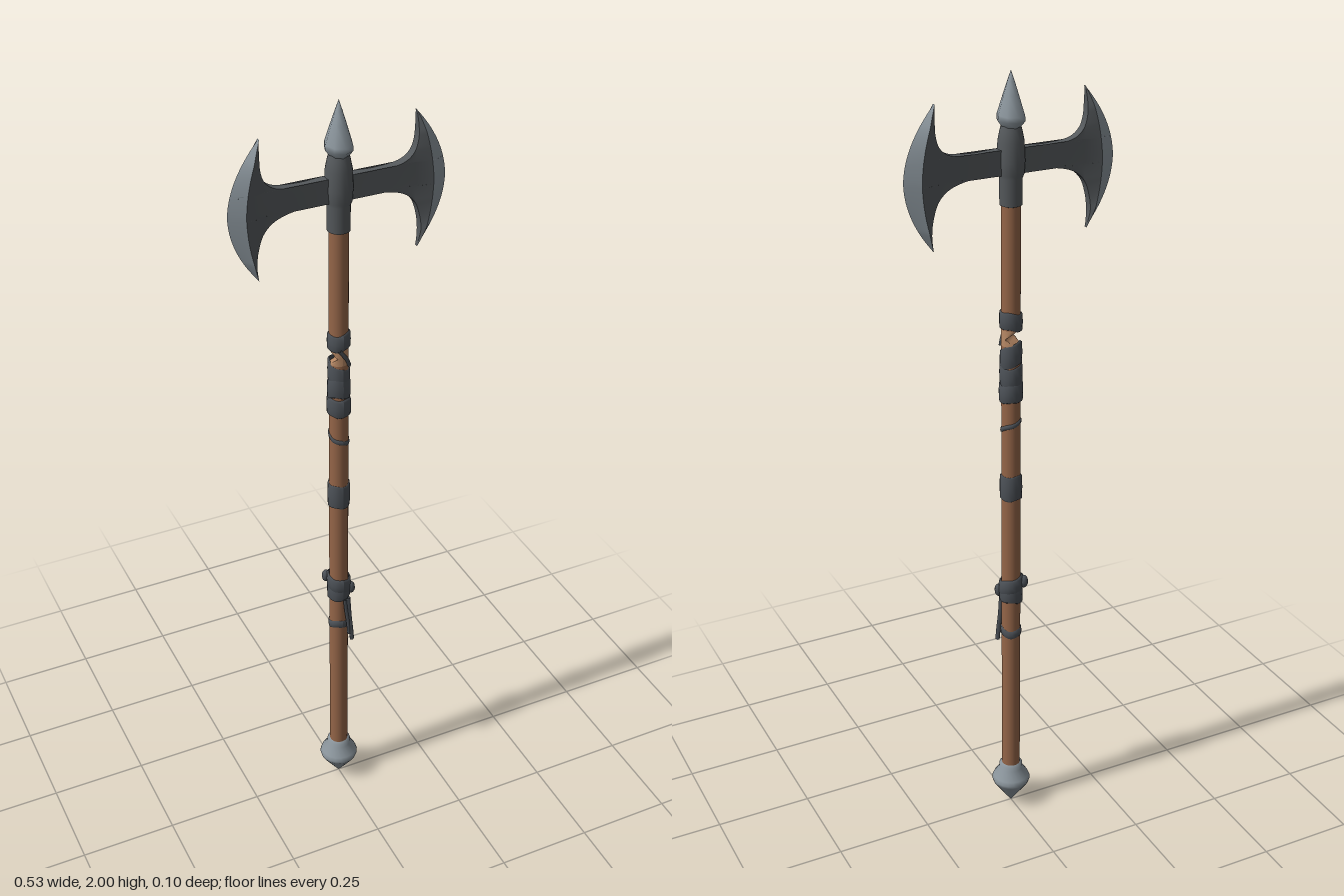
import * as THREE from 'three';

const mat = (name, color, side = THREE.FrontSide) =>
  Object.assign(new THREE.MeshStandardMaterial({ color, side }), { name });

export function createModel() {
  const group = new THREE.Group();
  const wood = mat('wood', 0x946548);
  const paleWood = mat('pale wood', 0xb98a66);
  const iron = mat('dark iron', 0x55595c);
  const steel = mat('bright steel', 0x8a949b);
  const cloth = mat('grey cloth', 0x4c5157, THREE.DoubleSide);

  const add = (name, geometry, material) => {
    const mesh = new THREE.Mesh(geometry, material);
    mesh.name = name;
    group.add(mesh);
    return mesh;
  };
  const lathe = (name, profile, material, segments = 20) =>
    add(name, new THREE.LatheGeometry(profile.map(p => new THREE.Vector2(...p)), segments), material);

  // Shaft, in two lengths with a splintered notch between them
  lathe('lowerShaft', [[0.024, 0.11], [0.0245, 0.7], [0.0235, 1.345]], wood);
  lathe('upperShaft', [[0.0235, 1.385], [0.023, 1.72]], wood);
  const notch = new THREE.CylinderGeometry(0.0235, 0.0235, 0.044, 20, 6, true);
  const p = notch.attributes.position;
  for (let i = 0; i < p.count; i++) {
    const depth = 0.03 * (1 - Math.abs(p.getY(i)) / 0.022);
    const out = (-p.getX(i) - p.getZ(i)) / Math.SQRT2;
    const cut = Math.max(0, out - (0.0235 - depth)) / Math.SQRT2;
    p.setX(i, p.getX(i) + cut);
    p.setZ(i, p.getZ(i) + cut);
  }
  notch.translate(0, 1.365, 0);
  notch.computeVertexNormals();
  add('splinteredNotch', notch, paleWood);

  // Pommel, head socket and top spike
  lathe('pommel', [[0, 0], [0.012, 0.016], [0.048, 0.068], [0.051, 0.078], [0.047, 0.088],
    [0.031, 0.112], [0.031, 0.124], [0.022, 0.13]], steel);
  lathe('headSocket', [[0.023, 1.69], [0.027, 1.692], [0.027, 1.755], [0.031, 1.765], [0.033, 1.795],
    [0.031, 1.84], [0.026, 1.865], [0.02, 1.885]], iron);
  const spike = lathe('topSpike', [[0.014, 1.865], [0.024, 1.872], [0.038, 1.888], [0.037, 1.9],
    [0.021, 1.945], [0.01, 1.975], [0, 2]], steel, 8);
  spike.scale.x = 0.86;

  // Blades: rows run up the inner outline, columns run out to the cutting edge
  const inner = new THREE.SplineCurve([
    [0.197, 1.608], [0.203, 1.65], [0.198, 1.69], [0.183, 1.728], [0.15, 1.754], [0.09, 1.767], [0, 1.768],
    [0, 1.82], [0.09, 1.82], [0.15, 1.826], [0.179, 1.845], [0.19, 1.875], [0.191, 1.91], [0.188, 1.944],
  ].map(q => new THREE.Vector2(...q)));
  const rows = inner.getPoints(78).map(({ x, y }) => {
    const bulge = Math.max(0, 1 - ((y - 1.776) / 0.168) ** 2);
    const base = 0.197 - 0.009 * Math.max(0, (y - 1.776) / 0.168);
    const ridge = Math.max(x, base + 0.031 * bulge);
    const thin = Math.min(1, 0.25 + 1.5 * bulge);
    return { x, y, ridge, mid: Math.min(ridge, Math.max(x, 0.185)),
      edge: Math.max(ridge, base + 0.069 * bulge), zWeb: 0.011 * thin, zRidge: 0.0185 * thin };
  });
  const strip = (name, columns, sx, sz, material) => {
    const n = columns.length, verts = [], index = [];
    rows.forEach((r, i) => columns.forEach((column, j) => {
      const [x, z] = column(r);
      verts.push(x * sx, r.y, z * sz);
      if (i && j) {
        const d = i * n + j, c = d - 1, b = d - n, a = b - 1;
        index.push(...(sx * sz > 0 ? [a, b, d, a, d, c] : [a, d, b, a, c, d]));
      }
    }));
    const geometry = new THREE.BufferGeometry();
    geometry.setAttribute('position', new THREE.Float32BufferAttribute(verts, 3));
    geometry.setIndex(index);
    geometry.computeVertexNormals();
    add(name, geometry, material);
  };
  for (const [side, sx] of [['left', 1], ['right', -1]]) {
    for (const [face, sz] of [['Front', 1], ['Back', -1]]) {
      strip(`${side}BladeWeb${face}`,
        [r => [r.x, r.zWeb], r => [r.mid, r.zWeb], r => [r.ridge, r.zRidge]], sx, sz, iron);
      strip(`${side}BladeBevel${face}`, [r => [r.ridge, r.zRidge], r => [r.edge, 0]], sx, sz, steel);
    }
    strip(`${side}BladeInnerWall`, [r => [r.x, -r.zWeb], r => [r.x, r.zWeb]], sx, 1, iron);
  }

  // Cloth wraps: low sleeves with a slant and slightly ragged edges
  const wraps = [
    [1.385, 1.43, 0.0275, 0.004], [1.285, 1.345, 0.0265, -0.012], [1.245, 1.3, 0.0275, 0.01],
    [1.2, 1.25, 0.029, 0.002], [1.125, 1.143, 0.0255, 0.012], [0.93, 1.0, 0.0275, 0.002],
    [0.635, 0.69, 0.0295, 0.004], [0.665, 0.705, 0.031, -0.008], [0.535, 0.562, 0.0265, 0.005],
  ];
  wraps.forEach(([y0, y1, r, slant], k) => {
    const profile = [[r - 0.005, y0], [r, y0 + 0.004], [r + 0.0008, (y0 + y1) / 2], [r, y1 - 0.004], [r - 0.005, y1]];
    const mesh = lathe('clothWrap', profile, cloth, 18);
    const v = mesh.geometry.attributes.position;
    for (let i = 0; i < v.count; i++) {
      const a = Math.atan2(v.getX(i), v.getZ(i));
      v.setY(i, v.getY(i) + slant * Math.sin(a + k) + 0.002 * Math.sin(3 * a + 2 * k));
    }
    mesh.geometry.computeVertexNormals();
  });

  // Knots on the lower wrap
  for (const [x, y, z] of [[-0.027, 0.695, -0.02], [0.027, 0.665, 0.016]]) {
    const knot = add('clothKnot', new THREE.SphereGeometry(0.011, 10, 8), cloth);
    knot.position.set(x, y, z);
    knot.scale.y = 1.6;
  }

  // Loose cloth ends hanging below the wraps
  const tail = (points, radius) => {
    const curve = new THREE.CatmullRomCurve3(points.map(q => new THREE.Vector3(...q)));
    add('clothTail', new THREE.TubeGeometry(curve, 10, radius, 5), cloth);
  };
  tail([[0.015, 0.64, 0.025], [0.018, 0.58, 0.027], [0.02, 0.54, 0.032], [0.022, 0.505, 0.034]], 0.006);
  tail([[0.004, 0.64, 0.028], [0.008, 0.6, 0.028], [0.012, 0.56, 0.031], [0.014, 0.525, 0.033]], 0.005);
  tail([[-0.01, 1.39, 0.025], [0.008, 1.365, 0.025], [0.02, 1.34, 0.016]], 0.005);

  return group;
}
